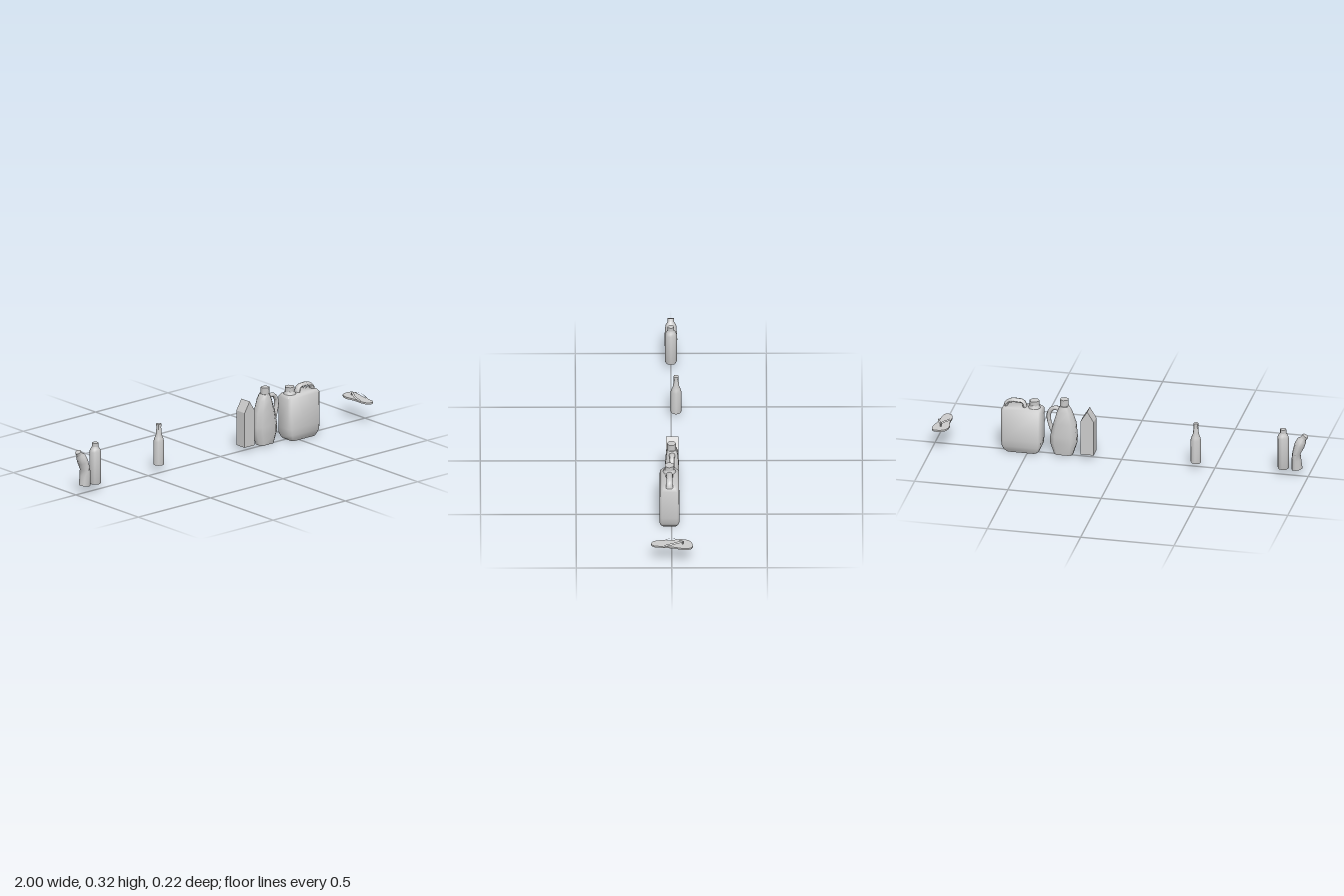
import * as THREE from 'three';
import { toCreasedNormals } from 'three/addons/utils/BufferGeometryUtils.js';

const material = new THREE.MeshStandardMaterial({ color: 0xcccccc });
const thin = new THREE.MeshStandardMaterial({ color: 0xcccccc, side: THREE.DoubleSide });

// Cross-section outlines in unit size
const round = (n) => Array.from({ length: n }, (_, i) => {
  const a = (i / n) * Math.PI * 2;
  return [Math.cos(a), Math.sin(a)];
});
const chamfered = (cx, cz) => [
  [1, -1 + cz], [1, 1 - cz], [1 - cx, 1], [-1 + cx, 1],
  [-1, 1 - cz], [-1, -1 + cz], [-1 + cx, -1], [1 - cx, -1],
];

// Skins sections [x, y, halfWidth, halfDepth, tilt] with an outline and closes both ends
function loft(sections, outline, crease = 1.1) {
  const n = outline.length, pos = [], index = [];
  for (const [x, y, rx, rz, tilt = 0] of sections)
    for (const [a, b] of outline)
      pos.push(x + a * rx * Math.cos(tilt), y + a * rx * Math.sin(tilt), b * rz);
  const last = (sections.length - 1) * n;
  const bottom = pos.length / 3, top = bottom + 1;
  for (const s of [sections[0], sections[sections.length - 1]]) pos.push(s[0], s[1], 0);
  for (let j = 0; j < n; j++) {
    const k = (j + 1) % n;
    for (let i = 0; i < last; i += n)
      index.push(i + j, i + n + j, i + k, i + k, i + n + j, i + n + k);
    index.push(bottom, j, k, top, last + k, last + j);
  }
  const g = new THREE.BufferGeometry();
  g.setAttribute('position', new THREE.Float32BufferAttribute(pos, 3));
  g.setIndex(index);
  return toCreasedNormals(g, crease);
}

// Sweeps a handle along points in the xy plane
function handleGeometry(points, thickness, depth) {
  const curve = new THREE.CatmullRomCurve3(points.map(([x, y]) => new THREE.Vector3(x, y, 0)));
  const sections = [];
  for (let i = 0; i <= 12; i++) {
    const p = curve.getPoint(i / 12), t = curve.getTangent(i / 12);
    const flare = 1 + 0.4 * Math.pow(Math.abs(i / 6 - 1), 3);
    sections.push([p.x, p.y, thickness, depth * flare, Math.atan2(-t.x, t.y)]);
  }
  return loft(sections, round(8));
}

function add(parent, name, geometry, x = 0, y = 0, z = 0, mat = material) {
  const mesh = new THREE.Mesh(geometry, mat);
  mesh.name = name;
  mesh.position.set(x, y, z);
  parent.add(mesh);
  return mesh;
}

function group(parent, name, x = 0, y = 0, z = 0) {
  const g = new THREE.Group();
  g.name = name;
  g.position.set(x, y, z);
  parent.add(g);
  return g;
}

const capGeometry = (r, h, n = 6) =>
  toCreasedNormals(new THREE.CylinderGeometry(r, r, h, n), 1.1);

// Upright bottle from [y, radius] pairs
function bottle(parent, name, x, z, profile, capRadius, capY, capHeight) {
  const g = group(parent, name, x, 0, z);
  add(g, name + 'Body', loft(profile.map(([y, r]) => [0, y, r, r]), round(8)));
  add(g, name + 'Cap', capGeometry(capRadius, capHeight, 8), 0, capY, 0);
}

function crushedBottle(parent) {
  const g = group(parent, 'crushedBottle');
  add(g, 'crushedBottleBody', loft([
    [-0.940, 0.040, 0.030, 0.030, -0.15],
    [-0.937, 0.095, 0.026, 0.032, 0],
    [-0.937, 0.132, 0.022, 0.034, 0.25],
    [-0.953, 0.176, 0.028, 0.031, 0.5],
    [-0.966, 0.205, 0.025, 0.028, 0.55],
    [-0.976, 0.220, 0.014, 0.015, 0.55],
    [-0.980, 0.228, 0.014, 0.015, 0.55],
  ], round(8)));
  const cap = add(g, 'crushedBottleCap', capGeometry(0.017, 0.016, 8), -0.981, 0.226, 0);
  cap.rotation.z = 0.55;
}

// Box with a gable roof whose ridge runs front to back
function carton(parent) {
  const s = new THREE.Shape([[-0.035, 0.025], [0.035, 0.025], [0.035, 0.215], [0, 0.272], [-0.035, 0.215]]
    .map(([x, y]) => new THREE.Vector2(x, y)));
  const geo = new THREE.ExtrudeGeometry(s, { depth: 0.066, bevelEnabled: false });
  add(parent, 'carton', geo, 0.177, 0, -0.037);
}

function jug(parent) {
  const g = group(parent, 'handledJug', 0, 0, -0.003);
  add(g, 'jugBody', loft([
    [0.309, 0.008, 0.049, 0.030],
    [0.309, 0.070, 0.069, 0.037],
    [0.308, 0.110, 0.070, 0.037],
    [0.303, 0.185, 0.058, 0.036],
    [0.305, 0.250, 0.038, 0.031],
    [0.306, 0.282, 0.022, 0.024],
  ], chamfered(0.35, 0.5)));
  add(g, 'jugCap', capGeometry(0.024, 0.042), 0.307, 0.297, 0.003);
  add(g, 'jugHandle', handleGeometry(
    [[0.325, 0.262], [0.366, 0.262], [0.389, 0.23], [0.387, 0.187], [0.366, 0.125]], 0.0115, 0.013));
}

function canister(parent) {
  const g = group(parent, 'canister', 0, 0, 0.0115);
  add(g, 'canisterBody', loft([
    [0.533, 0.000, 0.080, 0.042],
    [0.533, 0.012, 0.094, 0.046],
    [0.533, 0.035, 0.104, 0.0525],
    [0.533, 0.070, 0.1075, 0.0525],
    [0.533, 0.236, 0.1075, 0.050],
    [0.533, 0.250, 0.100, 0.038],
  ], chamfered(0.12, 0.22)));
  add(g, 'canisterNeck', loft([
    [0.469, 0.235, 0.040, 0.042], [0.469, 0.268, 0.024, 0.026],
  ], round(8)));
  add(g, 'canisterCap', capGeometry(0.027, 0.026).rotateY(Math.PI / 6), 0.469, 0.277, 0);
  add(g, 'canisterHandle', handleGeometry(
    [[0.518, 0.235], [0.529, 0.275], [0.56, 0.281], [0.592, 0.28], [0.618, 0.264], [0.626, 0.225]], 0.011, 0.016));
}

function sandal(parent) {
  const g = group(parent, 'sandal');
  // Foot-shaped sole, toes toward the back
  const outline = [
    [0.976, -0.110], [0.995, -0.098], [0.999, -0.060], [0.988, -0.015], [0.980, 0.037],
    [0.975, 0.088], [0.957, 0.108], [0.932, 0.098], [0.921, 0.060], [0.922, 0.005],
    [0.912, -0.043], [0.921, -0.086], [0.945, -0.105],
  ].map(([x, z]) => new THREE.Vector2(x, -z));
  const s = new THREE.Shape(new THREE.SplineCurve([...outline, outline[0]]).getPoints(39).slice(0, -1));
  const sole = new THREE.ExtrudeGeometry(s, { depth: 0.009, bevelEnabled: false }).rotateX(-Math.PI / 2);
  add(g, 'sole', toCreasedNormals(sole, 0.8), 0, 0.113, 0);

  // Flat straps from the toe post to each side
  for (const [side, x] of [[1, 0.977], [-1, 0.927]]) {
    const curve = new THREE.CatmullRomCurve3([
      new THREE.Vector3(0.957, 0.139, -0.058),
      new THREE.Vector3(0.957 + side * 0.015, 0.140, -0.030),
      new THREE.Vector3(x + side * 0.004, 0.134, 0.008),
      new THREE.Vector3(x, 0.121, 0.047),
    ]);
    const strap = new THREE.PlaneGeometry(1, 1, 1, 10);
    const p = strap.attributes.position;
    for (let i = 0; i < p.count; i++) {
      const u = p.getY(i) + 0.5, v = p.getX(i);
      const c = curve.getPoint(u), t = curve.getTangent(u);
      const len = Math.hypot(t.x, t.z);
      p.setXYZ(i, c.x + (t.z / len) * v * 0.010, c.y - side * v * 0.005, c.z - (t.x / len) * v * 0.010);
    }
    strap.computeVertexNormals();
    add(g, side > 0 ? 'leftStrap' : 'rightStrap', strap, 0, 0, 0, thin);
  }
  add(g, 'toePost', new THREE.CylinderGeometry(0.003, 0.003, 0.02, 6), 0.957, 0.130, -0.057);
}

export function createModel() {
  const model = new THREE.Group();
  model.name = 'litterSet';
  crushedBottle(model);
  bottle(model, 'plasticBottle', -0.866, 0,
    [[0.037, 0.029], [0.043, 0.031], [0.212, 0.031], [0.228, 0.025], [0.242, 0.015], [0.25, 0.015]],
    0.0165, 0.25, 0.02);
  bottle(model, 'glassBottle', -0.404, -0.026,
    [[0.037, 0.028], [0.165, 0.028], [0.182, 0.023], [0.2, 0.016], [0.252, 0.0115]],
    0.0135, 0.253, 0.014);
  carton(model);
  jug(model);
  canister(model);
  sandal(model);
  return model;
}
